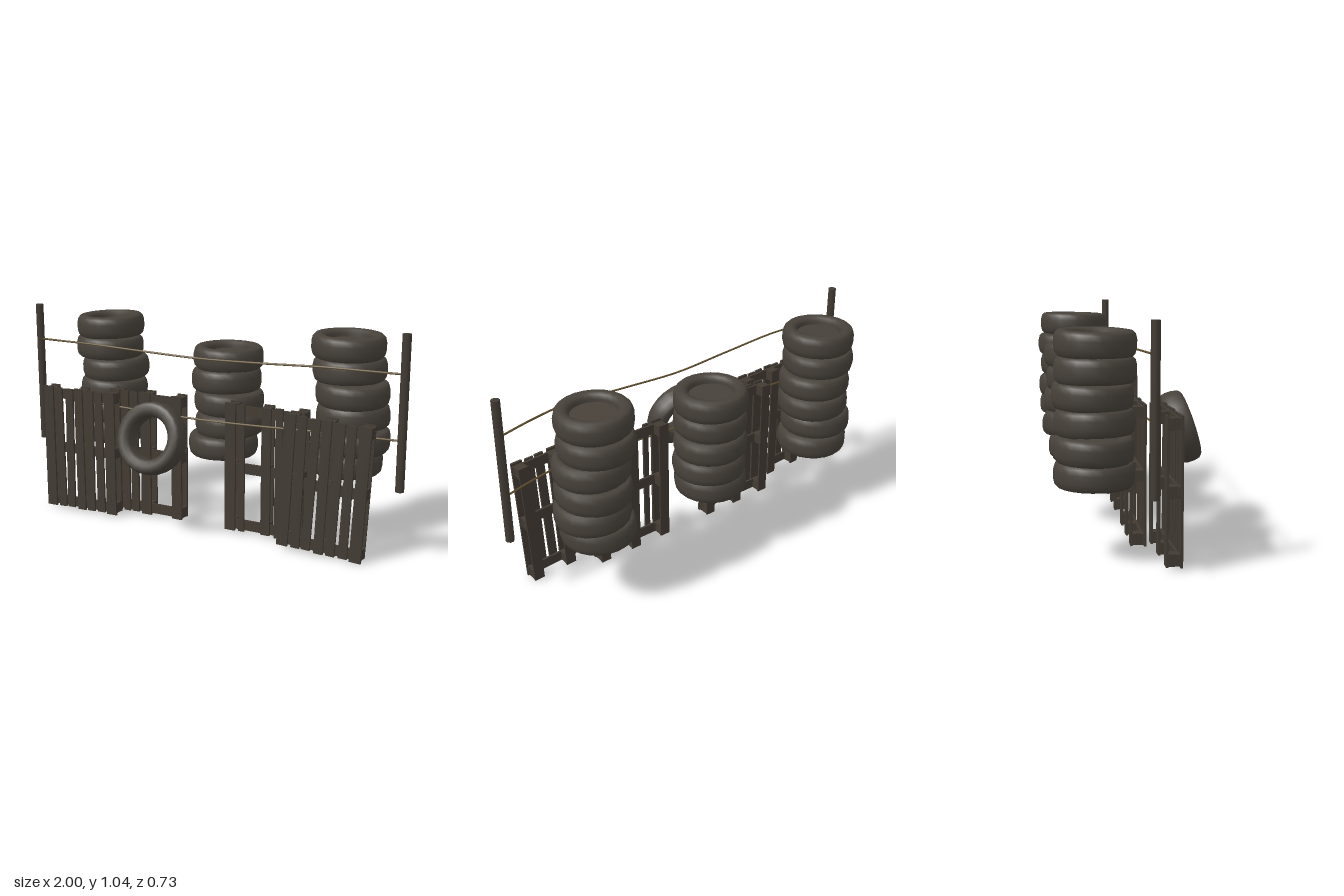
import * as THREE from 'three';

export function createModel() {
  const model = new THREE.Group();
  model.name = 'tireBarricade';
  const rubber = new THREE.MeshStandardMaterial({ color: 0x47413a });
  rubber.name = 'worn rubber';
  const wood = new THREE.MeshStandardMaterial({ color: 0x423b33 });
  wood.name = 'dark wood';
  const hemp = new THREE.MeshStandardMaterial({ color: 0x62502f });
  hemp.name = 'rope';

  const add = (parent, name, geo, mat, x = 0, y = 0, z = 0) => {
    const m = new THREE.Mesh(geo, mat);
    m.name = name;
    m.position.set(x, y, z);
    parent.add(m);
    return m;
  };
  const group = (name, x = 0, y = 0, z = 0) => {
    const g = new THREE.Group();
    g.name = name;
    g.position.set(x, y, z);
    model.add(g);
    return g;
  };

  // Tire: closed ring profile turned about its axle
  const profile = [
    [0.104, -0.034], [0.116, -0.05], [0.135, -0.056], [0.157, -0.053], [0.168, -0.042], [0.174, -0.018],
    [0.174, 0.018], [0.168, 0.042], [0.157, 0.053], [0.135, 0.056], [0.116, 0.05], [0.104, 0.034], [0.104, -0.034],
  ].map(([r, y]) => new THREE.Vector2(r, y));
  const tireGeo = new THREE.LatheGeometry(profile, 22);
  // Plug that closes the hole of a stacked tire
  const plugGeo = new THREE.CylinderGeometry(0.106, 0.106, 0.04, 22);

  // Stacks, bottom to top: x offset, z offset, tilt about z, tilt about x
  const stacks = [
    ['rightStack', -0.675, [[0, 0, 0, 0.01], [-0.012, -0.004, 0.03, 0.02], [0.008, 0.002, -0.03, -0.02],
      [0.015, -0.006, 0.02, 0.03], [-0.012, 0.004, -0.02, 0], [-0.005, 0.005, 0.02, 0.02]]],
    ['middleStack', 0.005, [[-0.015, 0.012, 0, 0], [0.012, -0.008, 0.03, 0.04], [0.006, -0.01, -0.03, 0.03],
      [-0.002, 0.003, 0.02, -0.02], [0.003, -0.006, -0.01, 0.01]]],
    ['leftStack', 0.65, [[-0.005, 0.006, 0, 0.01], [0.025, -0.003, -0.03, 0.05], [0.018, -0.008, 0.03, -0.03],
      [0.016, 0.002, -0.02, 0.03], [-0.006, -0.01, 0.02, 0.01], [-0.01, 0.004, -0.02, 0.02]]],
  ];
  for (const [name, x, tires] of stacks) {
    const g = group(name, x, 0.375, -0.18);
    tires.forEach(([dx, dz, rz, rx], i) => {
      const tire = add(g, 'tire', tireGeo, rubber, dx, i * 0.11, dz);
      tire.rotation.set(rx, i * 0.9, rz, 'XZY');
      add(tire, 'tirePlug', plugGeo, rubber);
    });
  }

  // Loose tire leaning on the fence
  add(model, 'leaningTire', tireGeo, rubber, -0.16, 0.48, 0.272).rotation.x = 1.264;

  // Pallet: 3 x 3 blocks, back boards, cross rails and front planks [x, width, lean]
  const pallet = (name, x, z, planks) => {
    const g = group(name, x, 0.325, z);
    const cols = [-0.178, 0, 0.178];
    for (const y of [-0.285, 0, 0.282]) {
      for (const bx of cols) add(g, 'block', new THREE.BoxGeometry(0.05, 0.052, 0.041), wood, bx, y, -0.007);
      add(g, 'crossRail', new THREE.BoxGeometry(0.41, 0.05, 0.011), wood, 0, y, 0.018);
    }
    for (const bx of cols) add(g, 'backBoard', new THREE.BoxGeometry(0.052, 0.63, 0.009), wood, bx, 0, -0.03);
    planks.forEach(([px, w, lean = 0], i) => {
      const plank = add(g, 'frontPlank', new THREE.BoxGeometry(w, 0.635 - (i % 3) * 0.005, 0.011), wood, px, 0, 0.03);
      plank.rotation.z = lean;
    });
    return g;
  };
  const outer = [[-0.18, 0.055], [-0.117, 0.042, 0.01], [-0.058, 0.042, -0.012], [0, 0.045, 0.006],
    [0.062, 0.042, -0.008], [0.118, 0.042, 0.008], [0.18, 0.055]];
  pallet('rightOuterPallet', -0.663, 0.126, outer).rotation.y = 0.035;
  pallet('rightInnerPallet', -0.33, 0.027,
    [[-0.177, 0.055], [-0.115, 0.035], [-0.065, 0.042], [0, 0.055], [0.178, 0.055]]);
  pallet('leftInnerPallet', 0.323, 0.027,
    [[-0.177, 0.055], [-0.115, 0.028], [0.012, 0.047], [0.078, 0.036], [0.178, 0.055]]);
  pallet('leftOuterPallet', 0.66, 0.117, outer).rotation.z = -0.05;

  // Posts at both ends
  for (const s of [-1, 1]) {
    const post = add(model, s > 0 ? 'leftPost' : 'rightPost',
      new THREE.CylinderGeometry(0.02, 0.02, 0.71, 8), wood, s * 0.98, 0.68, 0.033);
    post.rotation.y = Math.PI / 8;
  }

  // Sagging ropes between the posts
  const ropePath = [[-0.98, 0.855, 0.033], [-0.82, 0.862, 0.073], [-0.65, 0.864, 0.09], [-0.3, 0.852, 0.083],
    [0, 0.843, 0.072], [0.3, 0.852, 0.083], [0.62, 0.866, 0.092], [0.8, 0.863, 0.07], [0.98, 0.857, 0.033]];
  for (const [name, drop] of [['upperRope', 0], ['lowerRope', 0.298]]) {
    const curve = new THREE.CatmullRomCurve3(ropePath.map(([x, y, z]) => new THREE.Vector3(x, y - drop, z)));
    add(model, name, new THREE.TubeGeometry(curve, 48, 0.005, 6), hemp);
  }

  return model;
}
